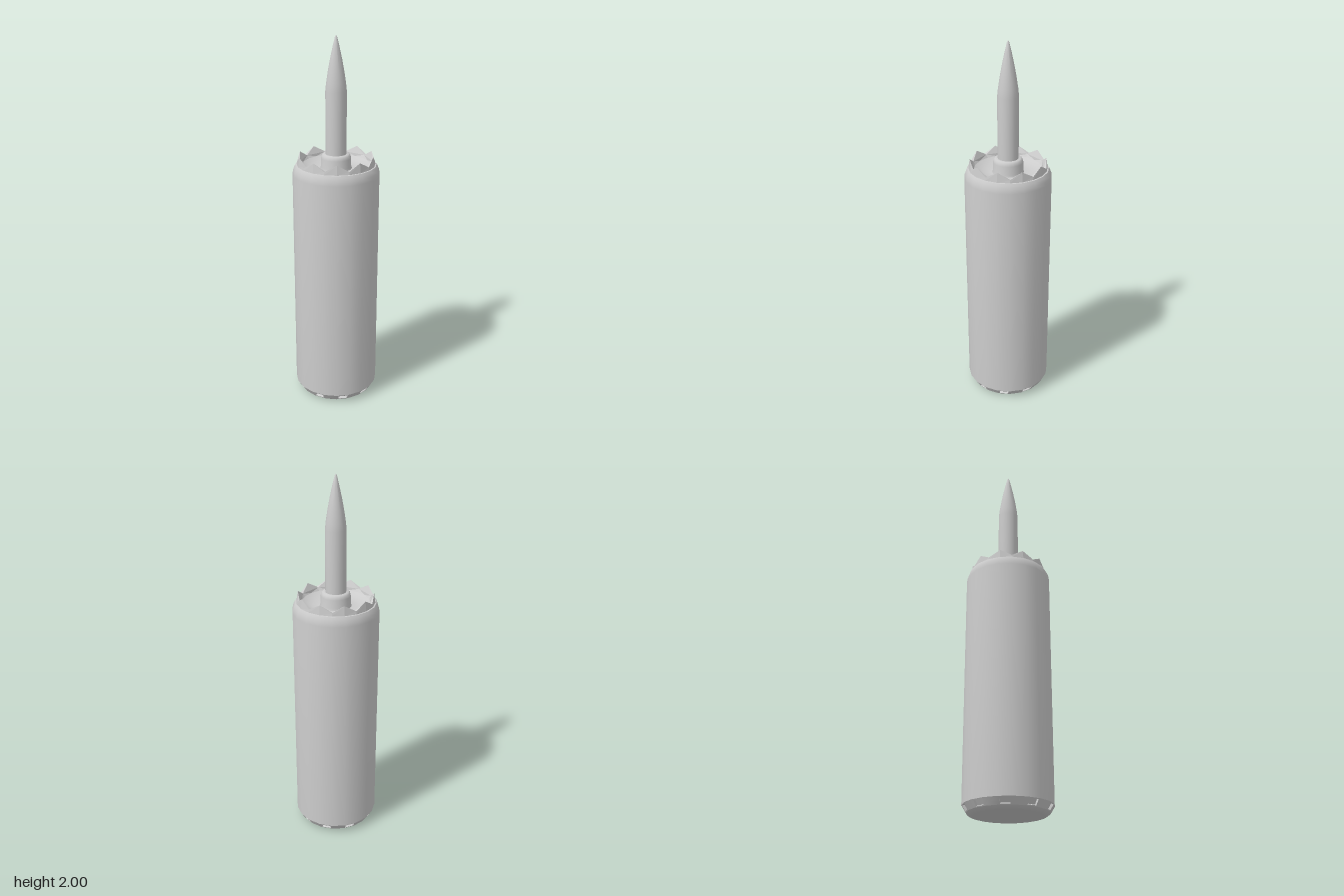
import * as THREE from 'three';
import { toCreasedNormals } from 'three/addons/utils/BufferGeometryUtils.js';

const SIDES = 20;
const STEP = (Math.PI * 2) / SIDES;
const at = (r, y, a) => new THREE.Vector3(r * Math.sin(a), y, r * Math.cos(a));

export function createModel() {
  const group = new THREE.Group();
  const material = new THREE.MeshStandardMaterial({ color: 0xcccccc, side: THREE.DoubleSide });

  const add = (name, geometry, crease) => {
    const mesh = new THREE.Mesh(toCreasedNormals(geometry, crease), material);
    mesh.name = name;
    group.add(mesh);
  };
  const lathe = (name, profile, crease = 0.5) => add(name,
    new THREE.LatheGeometry(profile.map(([r, y]) => new THREE.Vector2(r, y)), SIDES), crease);
  const fromPoints = (points) => new THREE.BufferGeometry().setFromPoints(points);
  const quad = (out, a, b, c, d) => out.push(a, b, c, a, c, d);

  // Main casing with a rounded shoulder and a small step under the crown
  lathe('casing', [[0.23, 0.05], [0.23, 1.285], [0.227, 1.305], [0.22, 1.325], [0.214, 1.335], [0.207, 1.336]]);

  // Base disc with its rounded edge
  lathe('base', [[0, 0], [0.18, 0], [0.195, 0.004], [0.208, 0.014]]);

  // Chamfered lower band: every other facet holds a shallow recessed window
  const band = [];
  for (let i = 0; i < SIDES; i++) {
    const a = i * STEP, b = a + STEP;
    const outer = [at(0.208, 0.014, a), at(0.208, 0.014, b), at(0.23, 0.05, b), at(0.23, 0.05, a)];
    if (i % 2) {
      quad(band, ...outer);
      continue;
    }
    const mid = outer.reduce((s, p) => s.add(p), new THREE.Vector3()).multiplyScalar(0.25);
    const inner = outer.map((p) => p.clone().lerp(mid, 0.25));
    const inward = at(-0.012, 0.006, a + STEP / 2);
    const floor = inner.map((p) => p.clone().add(inward));
    for (let k = 0; k < 4; k++) {
      const n = (k + 1) % 4;
      quad(band, outer[k], outer[n], inner[n], inner[k]);
      quad(band, inner[k], inner[n], floor[n], floor[k]);
    }
    quad(band, ...floor);
  }
  add('windowBand', fromPoints(band), 0.3);

  // Crown of ten pointed teeth, sloping inward to the dish
  const crown = [];
  for (let i = 0; i < SIDES / 2; i++) {
    const m = i * 2 * STEP, a = m - STEP, b = m + STEP;
    const tip = at(0.2, 1.387, m);
    const foot = at(0.207, 1.336, m);
    const outA = at(0.204, 1.352, a), outB = at(0.204, 1.352, b);
    const inA = at(0.19, 1.35, a), inB = at(0.19, 1.35, b);
    quad(crown, at(0.207, 1.336, a), foot, tip, outA);
    quad(crown, foot, at(0.207, 1.336, b), outB, tip);
    crown.push(tip, inB, inA, tip, inA, outA, tip, outB, inB);
    // Link from the straight inner edge down to the dish
    const lowA = at(0.178, 1.335, a), lowM = at(0.178, 1.335, m), lowB = at(0.178, 1.335, b);
    crown.push(inA, inB, lowM, inA, lowM, lowA, inB, lowB, lowM);
  }
  add('toothedCrown', fromPoints(crown), 0.05);

  // Concave dish inside the crown
  lathe('dish', [[0.178, 1.335], [0.155, 1.323], [0.125, 1.315], [0.095, 1.313], [0.07, 1.315]].reverse());

  // Rounded collar around the spike
  lathe('collar', [[0.084, 1.312], [0.08, 1.325], [0.079, 1.37], [0.075, 1.385], [0.068, 1.392], [0.05, 1.392]], 0.8);

  // Slim shaft ending in a long curved point
  lathe('spike', [[0.055, 1.38], [0.055, 1.72], [0.051, 1.76], [0.042, 1.82], [0.031, 1.88],
    [0.018, 1.94], [0.006, 1.99], [0, 2]], 0.6);

  return group;
}
